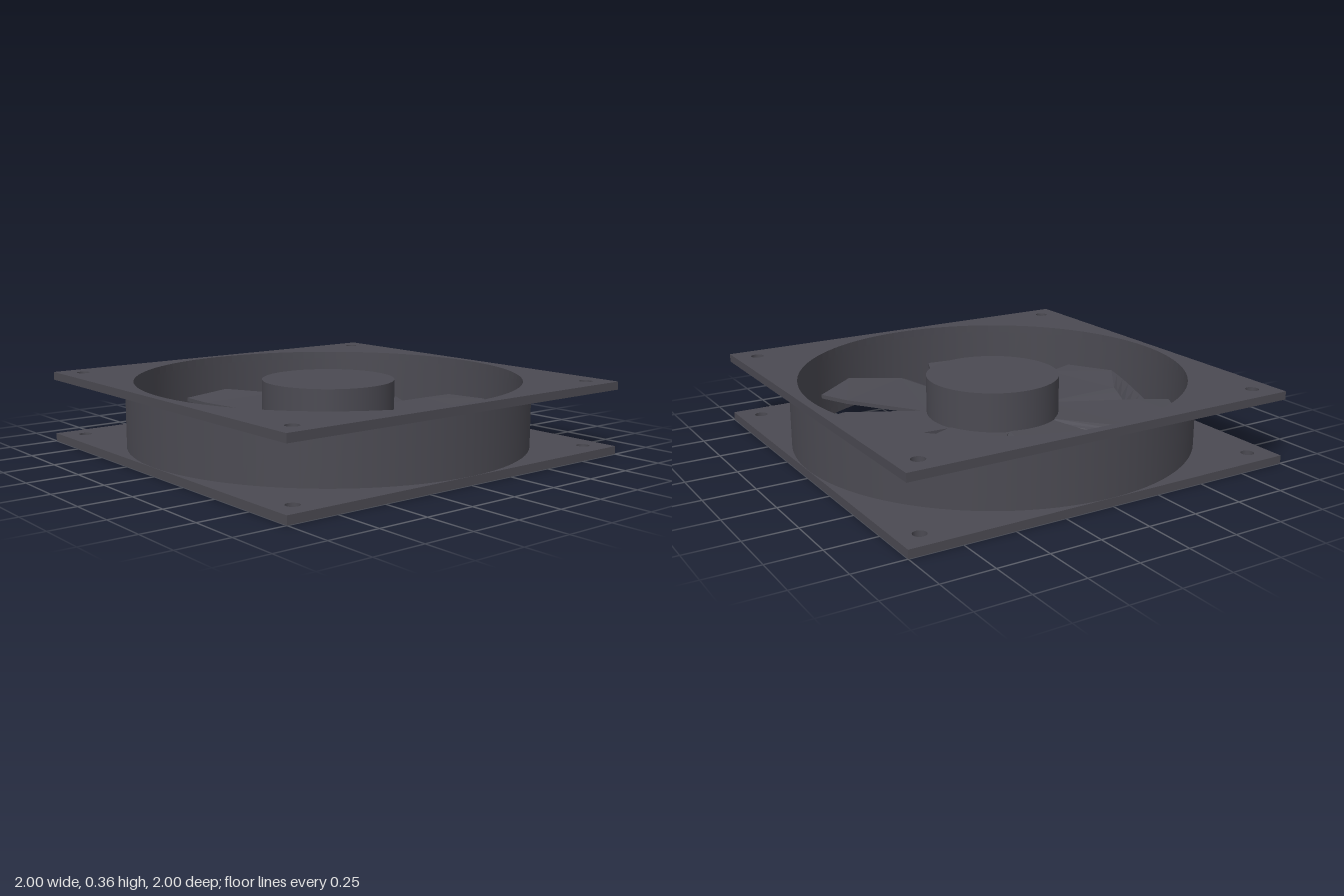
import * as THREE from 'three';

const charcoal = new THREE.MeshStandardMaterial({ color: 0x4b4a52 });
charcoal.name = 'charcoal plastic';

function add(parent, geometry, name, y = 0) {
  const mesh = new THREE.Mesh(geometry, charcoal);
  mesh.name = name;
  mesh.position.y = y;
  parent.add(mesh);
  return mesh;
}

// Square flange with the large opening and four screw holes
function flangeGeometry() {
  const shape = new THREE.Shape([[-1, -1], [1, -1], [1, 1], [-1, 1]].map(p => new THREE.Vector2(...p)));
  const hole = (x, y, r) => shape.holes.push(new THREE.Path().absarc(x, y, r, 0, Math.PI * 2, true));
  hole(0, 0, 0.957);
  for (const x of [-0.89, 0.89]) for (const y of [-0.89, 0.89]) hole(x, y, 0.032);
  return new THREE.ExtrudeGeometry(shape, { depth: 0.04, bevelEnabled: false, curveSegments: 48 })
    .rotateX(-Math.PI / 2);
}

// Blade: rows run hub to tip; each holds [radius, sideways, height] for raised edge, fold, low edge
function bladeGeometry() {
  const rows = [
    [[0.27, -0.18, 0.155], [0.32, 0.10, 0.16], [0.26, 0.21, 0.05]],
    [[0.72, -0.27, 0.16], [0.72, 0.19, 0.165], [0.64, 0.40, 0.05]],
    [[0.88, -0.28, 0.165], [0.925, 0, 0.18], [0.88, 0.28, 0.08]],
  ];
  const steps = 6, thickness = 0.02;
  const loops = rows.map(([edge, fold, low]) => {
    const top = [edge];
    for (let s = 0; s <= steps; s++) {
      const t = s / steps;
      top.push(fold.map((f, k) => f + (low[k] - f) * (k === 2 ? t ** 1.2 : t)));
    }
    const upper = top.map(([u, v, y]) => [-u, y, -v]);
    const lower = upper.map(([x, y, z]) => [x, y - thickness, z]).reverse();
    return [...upper, ...lower];
  });
  const pos = [];
  const quad = (a, b, c, d) => pos.push(...a, ...b, ...c, ...a, ...c, ...d);
  const n = loops[0].length;
  for (let i = 0; i < loops.length - 1; i++) {
    for (let j = 0; j < n; j++) {
      const k = (j + 1) % n;
      quad(loops[i][j], loops[i][k], loops[i + 1][k], loops[i + 1][j]);
    }
  }
  // Tip face
  const tip = loops[loops.length - 1];
  for (let j = 0; j < n / 2 - 1; j++) quad(tip[j], tip[j + 1], tip[n - 2 - j], tip[n - 1 - j]);
  const geometry = new THREE.BufferGeometry();
  geometry.setAttribute('position', new THREE.Float32BufferAttribute(pos, 3));
  geometry.computeVertexNormals();
  return geometry;
}

export function createModel() {
  const fan = new THREE.Group();
  fan.name = 'coolingFan';

  // Frame: two flanges joined by a round duct
  const frame = new THREE.Group();
  frame.name = 'frame';
  fan.add(frame);
  const flange = flangeGeometry();
  add(frame, flange, 'bottomFlange', 0);
  add(frame, flange, 'topFlange', 0.32);
  add(frame, new THREE.CylinderGeometry(0.998, 0.998, 0.28, 96, 1, true), 'ductOuterWall', 0.18);
  const inner = new THREE.CylinderGeometry(0.957, 0.957, 0.28, 96, 1, true);
  inner.scale(-1, 1, 1);
  // Restore the winding so that the mirrored wall faces the axis
  const normals = inner.attributes.normal;
  for (let i = 0; i < normals.count; i++) {
    const x = inner.attributes.position.getX(i), z = inner.attributes.position.getZ(i);
    normals.setXYZ(i, -x / 0.957, 0, -z / 0.957);
  }
  add(frame, inner, 'ductInnerWall', 0.18);

  // Crossed struts under the hub
  for (const side of [-1, 1]) {
    const strut = add(frame, new THREE.BoxGeometry(1.93, 0.035, 0.045), 'strut', 0.0225);
    strut.rotation.y = side * Math.PI / 4;
  }

  // Rotor: hub and seven folded blades
  const rotor = new THREE.Group();
  rotor.name = 'rotor';
  fan.add(rotor);
  add(rotor, new THREE.CylinderGeometry(0.33, 0.33, 0.32, 64), 'hub', 0.19);
  const blade = bladeGeometry();
  for (let i = 0; i < 7; i++) {
    add(rotor, blade, 'blade').rotation.y = i * Math.PI * 2 / 7;
  }
  return fan;
}
